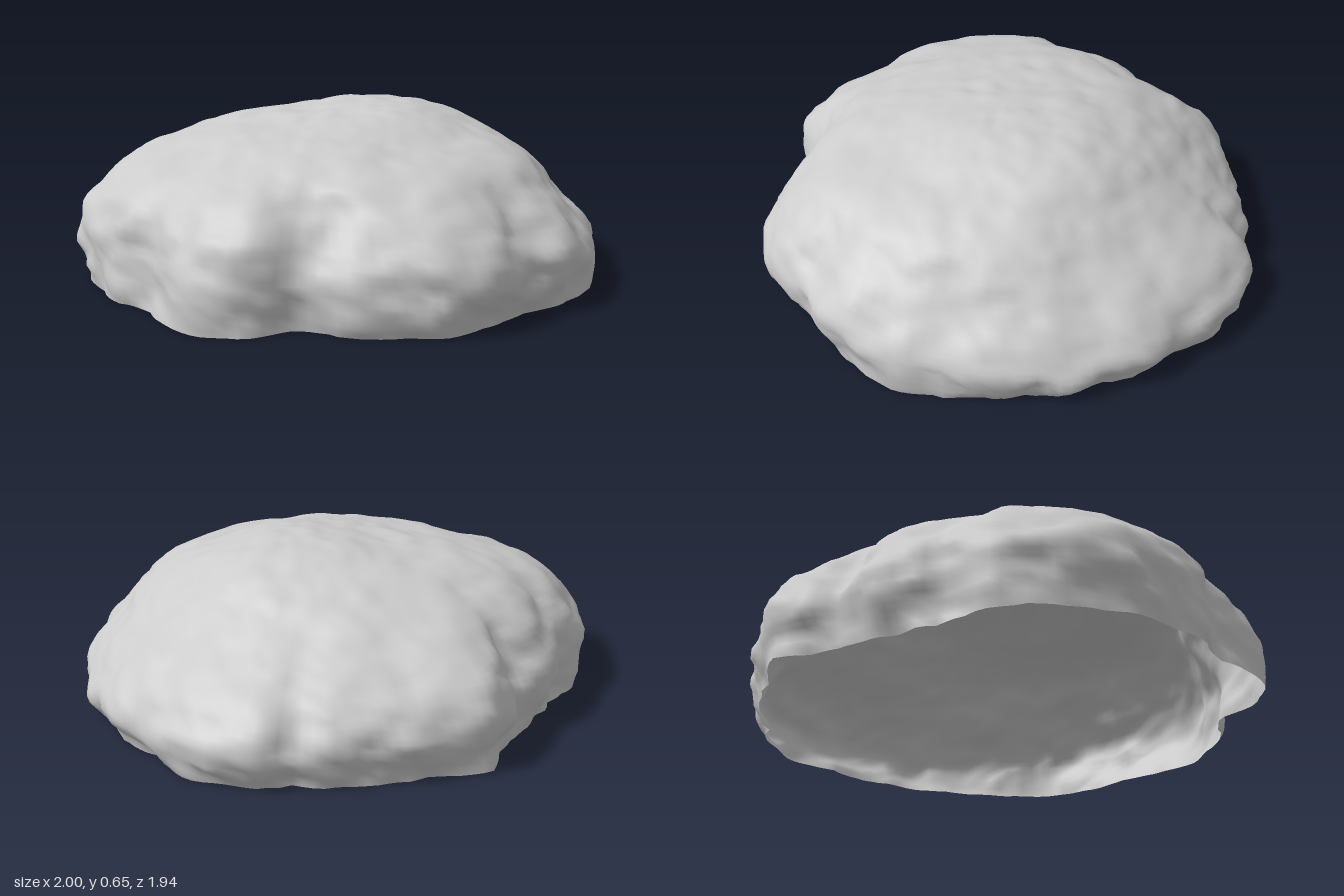
import * as THREE from 'three';

const { lerp, smoothstep } = THREE.MathUtils;

// Plan outline of the boulder as [x, z], running from +x towards +z
const OUTLINE = [
  [0.99, 0], [0.98, 0.19], [0.91, 0.3], [0.86, 0.45], [0.76, 0.58], [0.61, 0.74],
  [0.47, 0.86], [0.3, 0.94], [0.14, 0.97], [-0.02, 0.94], [-0.17, 0.97], [-0.26, 0.96],
  [-0.4, 0.91], [-0.48, 0.83], [-0.6, 0.7], [-0.64, 0.6], [-0.72, 0.5], [-0.88, 0.42],
  [-0.97, 0.27], [-0.95, -0.02], [-0.99, -0.15], [-0.96, -0.4], [-0.93, -0.52], [-0.78, -0.7],
  [-0.61, -0.81], [-0.4, -0.82], [-0.19, -0.91], [0, -0.89], [0.25, -0.98], [0.38, -0.9],
  [0.62, -0.73], [0.73, -0.64], [0.79, -0.53], [0.89, -0.48], [0.98, -0.29],
].map(([x, z]) => ({ a: (Math.atan2(z, x) + 2 * Math.PI) % (2 * Math.PI), r: Math.hypot(x, z) }));

// Surface heights at these radius fractions, every 45 degrees from +x;
// the last column is the radius fraction where the shell meets the ground
const FRACTIONS = [0.25, 0.5, 0.7, 0.85, 0.95, 1];
const SECTIONS = [
  [0.645, 0.575, 0.42, 0.3, 0.21, 0.12, 0.95],
  [0.64, 0.56, 0.47, 0.31, 0.2, 0.13, 0.95],
  [0.625, 0.545, 0.49, 0.38, 0.28, 0.18, 0.95],
  [0.605, 0.56, 0.5, 0.4, 0.28, 0.16, 0.97],
  [0.598, 0.56, 0.5, 0.43, 0.34, 0.2, 1],
  [0.6, 0.57, 0.52, 0.44, 0.32, 0.2, 0.97],
  [0.61, 0.575, 0.51, 0.43, 0.3, 0.17, 0.96],
  [0.63, 0.56, 0.45, 0.34, 0.25, 0.15, 0.96],
];
const TOP = 0.636;
const AROUND = 160, RINGS = 56;

function outlineRadius(a) {
  const n = OUTLINE.length;
  const i = OUTLINE.findLastIndex((p) => p.a <= a);
  const p = OUTLINE[i], q = OUTLINE[(i + 1) % n];
  const end = i === n - 1 ? 2 * Math.PI : q.a;
  return lerp(p.r, q.r, (a - p.a) / (end - p.a));
}

// Cubic blend of one column of SECTIONS around the boulder
function sectionValue(a, column) {
  const f = a / (Math.PI / 4), i = Math.floor(f), t = f - i;
  const [p, q, r, s] = [7, 8, 9, 10].map((k) => SECTIONS[(i + k) % 8][column]);
  return q + 0.5 * t * (r - p + t * (2 * p - 5 * q + 4 * r - s + t * (3 * (q - r) + s - p)));
}

// Radial cross-section from the crown, over the widest edge, tucked in to the ground
function profile(a) {
  const points = [new THREE.Vector3(0, TOP, 0)];
  FRACTIONS.forEach((s, k) => points.push(new THREE.Vector3(s, sectionValue(a, k), 0)));
  points.push(new THREE.Vector3(sectionValue(a, FRACTIONS.length), 0, 0));
  return new THREE.CatmullRomCurve3(points);
}

// Smooth seeded value noise in the range -1 to 1
function hash(x, y, z) {
  const s = Math.sin(x * 127.1 + y * 311.7 + z * 74.7 + 5.3) * 43758.5453;
  return (s - Math.floor(s)) * 2 - 1;
}
function noise(x, y, z) {
  const c = [x, y, z].map(Math.floor);
  const w = [x, y, z].map((v, i) => smoothstep(v - c[i], 0, 1));
  let sum = 0;
  for (let k = 0; k < 8; k++) {
    const d = [k & 1, (k >> 1) & 1, k >> 2];
    const weight = d.reduce((m, b, i) => m * (b ? w[i] : 1 - w[i]), 1);
    sum += weight * hash(c[0] + d[0], c[1] + d[1], c[2] + d[2]);
  }
  return sum;
}

// Weathering in three sizes: [frequency, depth]
const LAYERS = [[4.7, 0.022], [9.5, 0.017], [19, 0.009]];
const weathering = (p) =>
  LAYERS.reduce((sum, [f, depth]) => sum + depth * noise(p.x * f, p.y * f * 1.4, p.z * f), 0);

function boulderGeometry() {
  const positions = [0, TOP, 0], index = [];
  const sections = [];
  for (let j = 0; j < AROUND; j++) {
    const a = (j / AROUND) * 2 * Math.PI;
    sections.push({ a, r: outlineRadius(a), points: profile(a).getSpacedPoints(RINGS) });
  }
  for (let i = 1; i <= RINGS; i++) {
    for (const { a, r, points } of sections) {
      // Ease from a round crown to the ragged outline
      const s = points[i].x, radius = s * lerp(0.96, r, smoothstep(s, 0.5, 0.98));
      positions.push(Math.cos(a) * radius, points[i].y, Math.sin(a) * radius);
    }
  }
  const id = (i, j) => 1 + (i - 1) * AROUND + (j % AROUND);
  for (let j = 0; j < AROUND; j++) {
    index.push(0, id(1, j + 1), id(1, j));
    for (let i = 1; i < RINGS; i++) {
      const a = id(i, j), b = id(i, j + 1), c = id(i + 1, j), d = id(i + 1, j + 1);
      index.push(a, b, c, b, d, c);
    }
  }
  const geometry = new THREE.BufferGeometry();
  geometry.setAttribute('position', new THREE.Float32BufferAttribute(positions, 3));
  geometry.setIndex(index);
  geometry.computeVertexNormals();

  // Push lumps out along the normals, rougher towards the sides
  const pos = geometry.attributes.position, nor = geometry.attributes.normal;
  const p = new THREE.Vector3(), n = new THREE.Vector3();
  for (let v = 0; v < pos.count; v++) {
    p.fromBufferAttribute(pos, v);
    n.fromBufferAttribute(nor, v);
    const rough = lerp(1, 0.4, smoothstep(n.y, 0.3, 1));
    const onGround = v >= pos.count - AROUND;
    p.addScaledVector(n, weathering(p) * rough);
    pos.setXYZ(v, p.x, onGround ? 0 : Math.max(0.002, p.y), p.z);
  }

  // Centre the footprint
  geometry.computeBoundingBox();
  const { min, max } = geometry.boundingBox;
  geometry.translate(-(min.x + max.x) / 2, 0, -(min.z + max.z) / 2);
  geometry.computeVertexNormals();
  return geometry;
}

export function createModel() {
  const group = new THREE.Group();
  group.name = 'rock';
  // Hollow shell, open underneath
  const material = new THREE.MeshStandardMaterial({ color: 0xcccccc, side: THREE.DoubleSide });
  const boulder = new THREE.Mesh(boulderGeometry(), material);
  boulder.name = 'boulderShell';
  group.add(boulder);
  return group;
}
